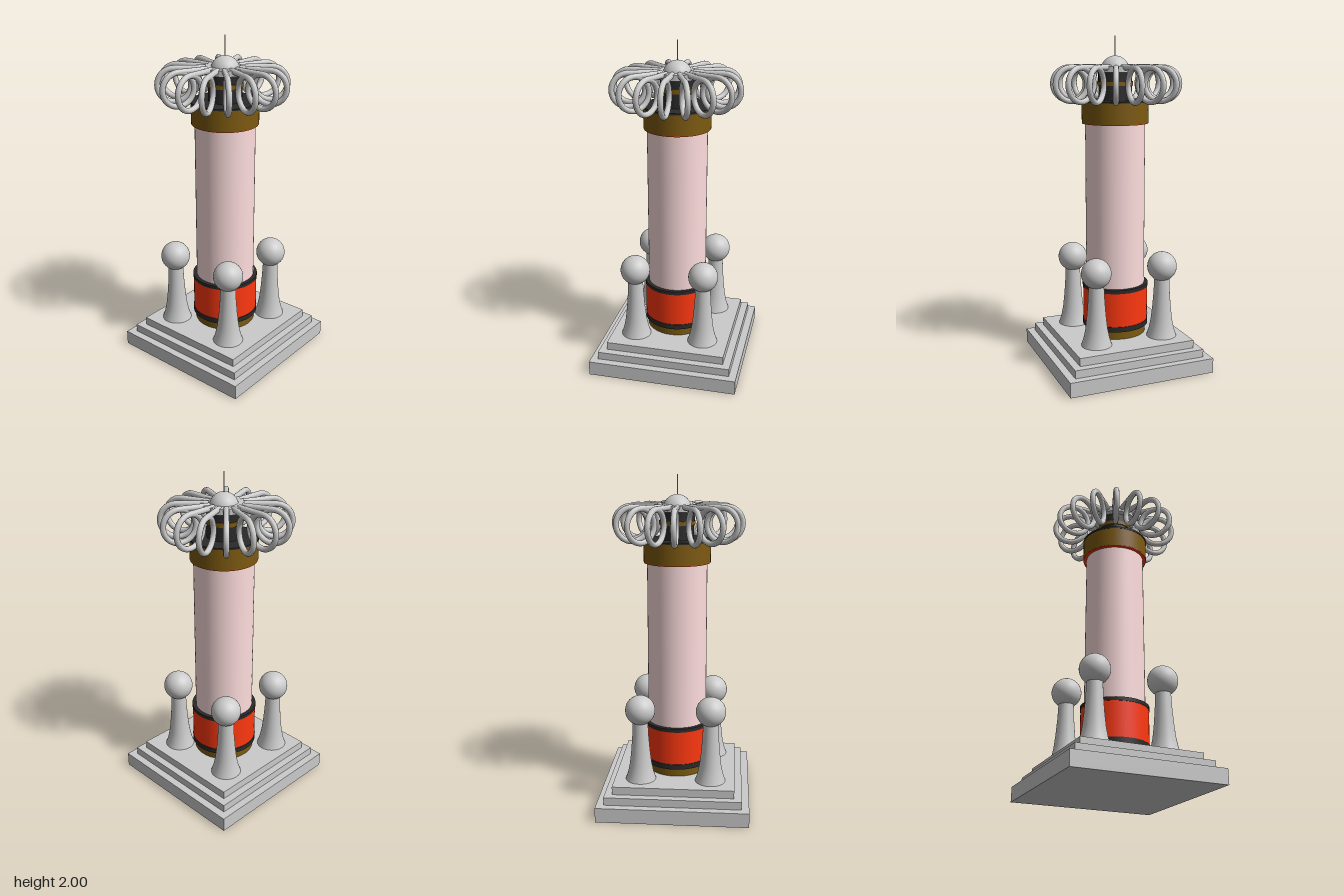
import * as THREE from 'three';

const material = (color) => new THREE.MeshStandardMaterial({ color });

export function createModel() {
  const model = new THREE.Group();
  const grey = material(0xcccccc);
  const brown = material(0x7d5a10);
  const black = material(0x2a2a2a);
  const red = material(0xff3810);
  const pink = material(0xffdede);

  const add = (name, geometry, mat, x = 0, y = 0, z = 0, parent = model) => {
    const mesh = new THREE.Mesh(geometry, mat);
    mesh.name = name;
    mesh.position.set(x, y, z);
    parent.add(mesh);
    return mesh;
  };
  // Upright cylinder from y0 to y1
  const drum = (name, r, y0, y1, mat) =>
    add(name, new THREE.CylinderGeometry(r, r, y1 - y0, 48), mat, 0, (y0 + y1) / 2, 0);

  // Stepped square base
  [[0.91, 0, 0.09], [0.82, 0.09, 0.138], [0.73, 0.138, 0.187]].forEach(([w, y0, y1], i) =>
    add(`baseStep${i + 1}`, new THREE.BoxGeometry(w, y1 - y0, w), grey, 0, (y0 + y1) / 2, 0));

  // Column, from the foot up
  drum('columnFoot', 0.187, 0.187, 0.238, brown);
  drum('lowerBand', 0.203, 0.238, 0.27, black);
  drum('coil', 0.2, 0.27, 0.48, red);
  drum('upperBand', 0.203, 0.48, 0.502, black);
  drum('column', 0.18, 0.502, 1.5, pink);
  drum('collarUnderside', 0.199, 1.488, 1.492, red);
  drum('collar', 0.2, 1.492, 1.615, brown);
  drum('collarTop', 0.203, 1.615, 1.625, black);

  // Neck carrying the crown
  drum('neck', 0.1, 1.625, 1.79, black);
  drum('neckRing', 0.106, 1.71, 1.735, brown);

  // Corner posts with ball tops
  const postProfile = [[0.092, 0.187], [0.078, 0.23], [0.066, 0.29], [0.057, 0.37], [0.05, 0.46], [0.045, 0.57]]
    .map(([r, y]) => new THREE.Vector2(r, y));
  const postGeometry = new THREE.LatheGeometry(postProfile, 32);
  const ballGeometry = new THREE.SphereGeometry(0.09, 32, 20);
  for (const sx of [-1, 1]) {
    for (const sz of [-1, 1]) {
      const post = new THREE.Group();
      post.name = `${sz > 0 ? 'front' : 'back'}${sx > 0 ? 'Left' : 'Right'}Post`;
      post.position.set(sx * 0.212 - 0.006, 0, sz * 0.214 - 0.01);
      add('stem', postGeometry, grey, 0, 0, 0, post);
      add('ball', ballGeometry, grey, 0, 0.628, 0, post);
      model.add(post);
    }
  }

  // Crown hub, dome and needle
  drum('crownDisc', 0.135, 1.79, 1.825, grey);
  add('dome', new THREE.SphereGeometry(0.085, 32, 12, 0, Math.PI * 2, 0, Math.PI / 2), grey, 0, 1.8, 0);
  drum('needle', 0.003, 1.87, 2, grey);

  // Each loop runs out along an arm, then once round a circle
  const points = [0.1, 0.16, 0.22].map((x) => new THREE.Vector3(x, 1.817, 0));
  for (let i = 0; i <= 24; i++) {
    const a = Math.PI / 2 - (i / 24) * Math.PI * 2;
    points.push(new THREE.Vector3(0.28 + 0.097 * Math.cos(a), 1.72 + 0.097 * Math.sin(a), 0));
  }
  const loopGeometry = new THREE.TubeGeometry(new THREE.CatmullRomCurve3(points), 72, 0.017, 10);
  const crown = new THREE.Group();
  crown.name = 'crownLoops';
  crown.position.set(-0.008, 0, -0.01);
  for (let i = 0; i < 16; i++) {
    add('crownLoop', loopGeometry, grey, 0, 0, 0, crown).rotation.y = (i * Math.PI) / 8;
  }
  model.add(crown);

  return model;
}
